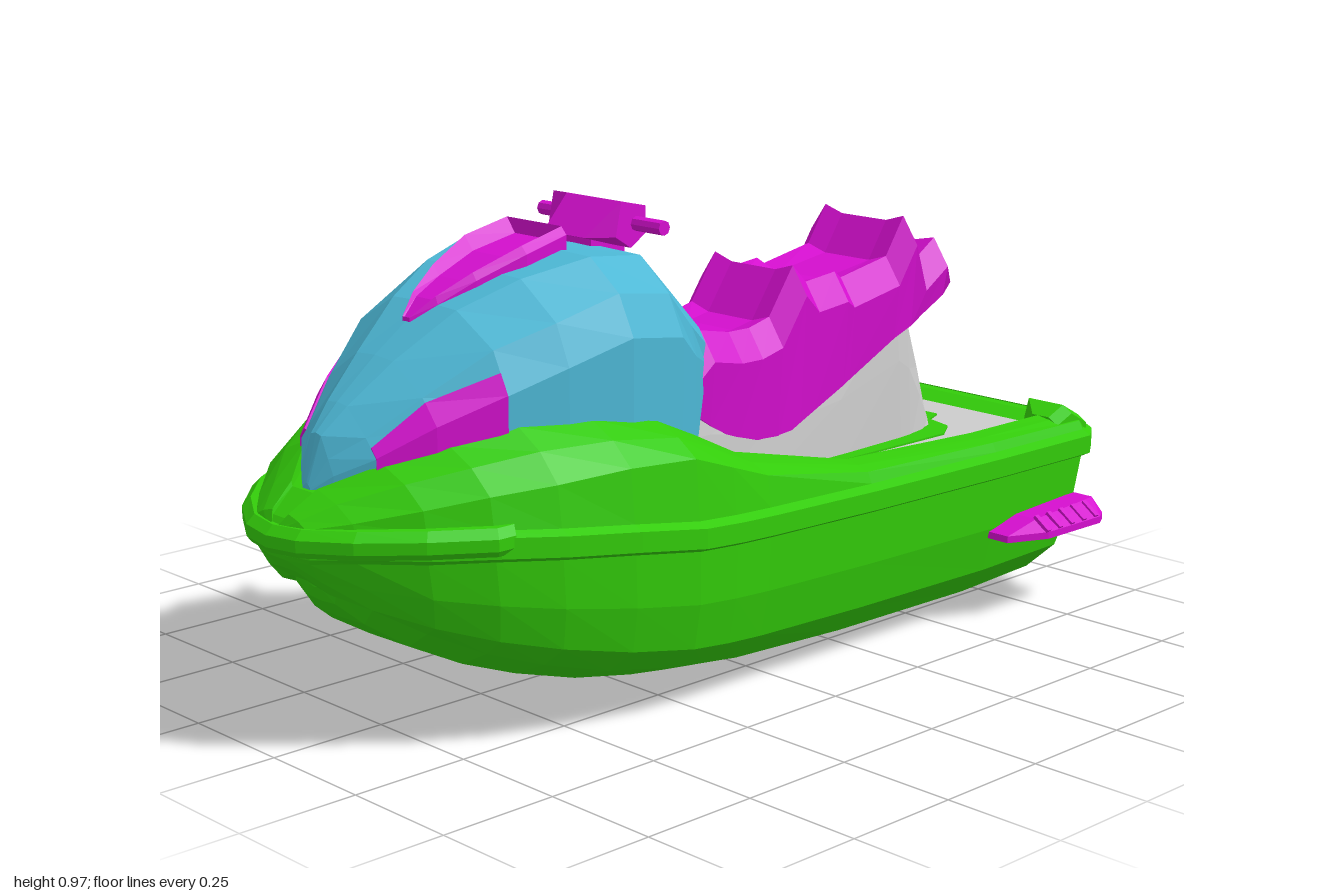
import * as THREE from 'three';

const material = color => new THREE.MeshStandardMaterial({ color, flatShading: true });
const green = material(0x33cc0a);
const blue = material(0x4db8d6);
const magenta = material(0xd60fd0);
const grey = material(0xcccccc);

const lerp = THREE.MathUtils.lerp;

// Closed ring from a half outline that starts and ends on the centre plane
const mirrorRing = half => [
  ...half,
  ...half.slice(1, -1).reverse().map(([x, y, z]) => [-x, y, z]),
];

// Solid skinned over rings of equal length, capped, and always turned outward
function loft(rings) {
  const tris = [];
  const n = rings[0].length;
  for (let i = 0; i < rings.length - 1; i++) {
    for (let j = 0; j < n; j++) {
      const k = (j + 1) % n;
      const [a, b, c, d] = [rings[i][j], rings[i][k], rings[i + 1][k], rings[i + 1][j]];
      tris.push([a, b, c], [a, c, d]);
    }
  }
  // Caps run in strips between opposite points, so they lie level across a mirrored ring
  const cap = (ring, flip) => {
    const push = (a, b, c) => tris.push(flip ? [c, b, a] : [a, b, c]);
    for (let j = 0; j < n / 2; j++) {
      const [a, b, c, d] = [ring[j], ring[j + 1], ring[n - j - 1], ring[(n - j) % n]];
      push(a, b, c);
      push(a, c, d);
    }
  };
  cap(rings[0], true);
  cap(rings[rings.length - 1], false);
  const volume = tris.reduce((s, [a, b, c]) => s
    + a[0] * (b[1] * c[2] - b[2] * c[1])
    + a[1] * (b[2] * c[0] - b[0] * c[2])
    + a[2] * (b[0] * c[1] - b[1] * c[0]), 0);
  if (volume < 0) tris.forEach(t => t.reverse());
  const geometry = new THREE.BufferGeometry();
  geometry.setAttribute('position', new THREE.Float32BufferAttribute(tris.flat(2), 3));
  geometry.computeVertexNormals();
  return geometry;
}

export function createModel() {
  const model = new THREE.Group();
  const add = (name, geometry, mat, x = 0, y = 0, z = 0) => {
    const mesh = new THREE.Mesh(geometry, mat);
    mesh.name = name;
    mesh.position.set(x, y, z);
    model.add(mesh);
    return mesh;
  };
  const addPair = (name, rings, mat) => {
    for (const [side, s] of [['left', 1], ['right', -1]]) {
      add(side + name, loft(rings.map(r => r.map(([x, y, z]) => [s * x, y, z]))), mat);
    }
  };

  // Hull and deck: rail z, rail half width, keel z, keel y, chine half width, rail y
  const hullStations = [
    [-1.00, .27, -.87, .015, .24, .31], [-.975, .38, -.86, .012, .30, .31],
    [-.91, .425, -.82, .008, .32, .312], [-.60, .43, -.60, 0, .325, .316],
    [-.20, .43, -.20, .004, .325, .322], [.10, .435, .10, .015, .32, .332],
    [.20, .44, .19, .024, .315, .338], [.30, .44, .28, .035, .31, .345],
    [.45, .42, .42, .06, .295, .365], [.60, .385, .56, .10, .27, .38],
    [.72, .335, .67, .14, .235, .39], [.82, .26, .77, .19, .185, .39],
    [.91, .16, .84, .24, .12, .39], [.965, .085, .88, .28, .065, .385],
    [.98, .03, .895, .31, .025, .385],
  ];
  // Deck: outer edge y, inner edge y, inner half width, floor y
  const deckStations = [
    [.37, .372, .24, .37], [.375, .378, .30, .37], [.39, .405, .335, .35],
    [.395, .405, .335, .35], [.405, .42, .335, .35], [.455, .485, .31, .355],
    [.49, .535, .30, .48], [.525, .58, .30, .55], [.53, .605, .28, .57],
    [.52, .61, .245, .57], [.51, .585, .19, .55], [.49, .555, .12, .52],
    [.465, .51, .04, .50], [.45, .47, .025, .46], [.44, .445, .008, .44],
  ];
  const hullRings = hullStations.map(([z, w, kz, ky, cw, ry], i) => {
    const [gy, iy, ix, fy] = deckStations[i];
    const s = Math.min(1, w / .35);
    const at = (x, y, t) => [x, y, lerp(kz, z, t)];
    return mirrorRing([
      at(0, ky, 0), at(cw * .65, ky + .003, 0), at(cw, ky + .045, .15),
      at(w - .047 * s, lerp(ky, ry, .34), .4), at(w - .025 * s, lerp(ky, ry, .65), .7),
      at(w - .02 * s, ry, .95), at(w, ry + .01, 1), at(w, ry + .05, 1),
      at(w - .022 * s, ry + .06, 1), at(w - .032 * s, gy, 1),
      at(lerp(w - .032 * s, ix, .45), lerp(gy, iy, .6), 1), at(ix, iy, 1),
      at(ix * .93, fy, 1), at(0, fy, 1),
    ]);
  });
  add('hull', loft(hullRings), green);

  // Bow bumper wrapped round the nose
  const bowHalf = [[.338, .69], [.338, .73], [.265, .835], [.17, .925], [.075, .982], [0, .993]];
  const bowPath = [...bowHalf, ...bowHalf.slice(0, -1).reverse().map(([x, z]) => [-x, z])];
  add('bowBumper', loft(bowPath.map(([x, z]) => {
    const l = Math.hypot(x * 1.6, z - .4), nx = x * 1.6 / l, nz = (z - .4) / l;
    const y = .01 * Math.min(1, Math.abs(x) / .25) - .003;
    return [[-.002, .4], [.007, .412], [.007, .435], [-.01, .452], [-.06, .452], [-.06, .4]]
      .map(([o, h]) => [x + nx * o, h + y, z + nz * o]);
  })), green);

  // Raised corner blocks at the stern
  addPair('SternBlock', [[-.97, .37], [-.94, .395], [-.885, .425], [-.835, .405]].map(([z, y], i) => {
    const inner = i === 3 ? .30 : .25, outer = i === 0 ? .36 : .39;
    return [[inner, .34, z], [outer, .34, z], [outer, y - .015, z], [outer - .025, y, z], [inner + .02, y, z]];
  }), green);

  // Grey foot mat and the green plinth under the seat
  const slab = (points, depth) => {
    const shape = new THREE.Shape([...points, ...points.map(([x, z]) => [-x, z]).reverse()]
      .map(([x, z]) => new THREE.Vector2(x, -z)));
    return new THREE.ExtrudeGeometry(shape, { depth, bevelEnabled: false }).rotateX(-Math.PI / 2);
  };
  add('footMat', slab([[.22, .1], [.27, .08], [.295, .03], [.3, -.75], [.28, -.82],
    [.25, -.84], [.25, -.94], [.22, -.965]], .008), grey, 0, .347, 0);
  add('seatPlinth', slab([[.18, .11], [.18, -.7], [.14, -.76], [.07, -.78], [.05, -.83]], .009),
    green, 0, .35, 0);

  // Seat pedestal: z, half width, top y
  add('seatPedestal', loft([
    [.13, .145, .56], [0, .145, .56], [-.15, .145, .52], [-.4, .14, .57],
    [-.6, .13, .66], [-.64, .125, .62], [-.69, .115, .5], [-.735, .1, .4],
  ].map(([z, w, y]) => mirrorRing([
    [0, .34, z], [w + .01, .34, z], [w, lerp(.34, y, .6), z], [w * .9, y, z], [0, y, z],
  ]))), grey);

  // Stepped saddle: z, underside y, top y, depth of the centre dip
  add('seat', loft([
    [.09, .55, .575, 0], [0, .49, .685, .005], [-.08, .445, .67, .01], [-.14, .418, .67, .012],
    [-.2, .42, .685, .015], [-.27, .452, .785, .015], [-.31, .47, .745, .01], [-.4, .51, .755, .02],
    [-.42, .52, .74, .01], [-.565, .59, .768, .015], [-.62, .61, .85, .015], [-.655, .63, .745, .01],
    [-.725, .665, .79, .01], [-.735, .69, .75, 0],
  ].map(([z, b, t, dip]) => {
    const at = y => Math.max(b + .004, y);
    return mirrorRing([[0, b, z], [.145, b, z], [.157, at(t - .06), z],
      [.115, t, z], [.065, at(t - dip), z], [0, at(t - dip), z]]);
  })), magenta);

  // Front cowl: z, half width, bottom y, side y, shoulder x and y, crown x and y
  add('cowl', loft([
    [0, .13, .60, .62, .13, .66, .11, .69], [.1, .205, .46, .66, .19, .72, .13, .78],
    [.22, .29, .48, .73, .25, .81, .17, .875], [.36, .30, .53, .75, .26, .83, .18, .89],
    [.5, .275, .56, .71, .24, .79, .14, .86], [.62, .24, .56, .67, .20, .75, .095, .81],
    [.74, .18, .54, .62, .14, .67, .055, .725], [.83, .115, .50, .565, .085, .60, .03, .65],
    [.88, .05, .48, .53, .035, .56, .015, .60], [.905, .012, .47, .50, .01, .505, .005, .51],
  ].map(([z, w, b, m, sx, sy, tx, ty]) => mirrorRing([
    [0, b, z], [w, b, z], [w, m, z], [sx, sy, z], [tx, ty, z], [0, ty + .004, z],
  ]))), blue);

  // Side windows lying on the cowl
  addPair('Window', [
    [.62, [.24, .60], [.24, .67], [.22, .71]],
    [.74, [.18, .565], [.18, .62], [.147, .661]],
    [.83, [.115, .54], [.115, .565], [.1, .583]],
  ].map(([z, ...points]) => [
    ...points.map(([x, y]) => [x + .003, y + .002, z + .002]),
    ...points.reverse().map(([x, y]) => [x - .02, y - .01, z - .01]),
  ]), magenta);

  // Dished scoop on the cowl: z, half width, rim y, dish y
  add('cowlScoop', loft([
    [.345, .095, .935, .905], [.45, .1, .91, .882], [.55, .07, .868, .848],
    [.62, .04, .828, .82], [.665, .012, .79, .786],
  ].map(([z, w, r, c]) => mirrorRing([
    [0, r - .09, z], [w, r - .07, z], [w, r - .015, z], [w * .85, r, z], [w * .6, c, z], [0, c, z],
  ]))), magenta);

  // Handlebar column, console, grips and gauges
  add('steeringColumn', new THREE.BoxGeometry(.11, .1, .09), magenta, 0, .865, .2);
  add('console', loft([[-.1, .22], [-.06, .268], [.06, .268], [.1, .22]].map(([x, f]) =>
    [[x, .9, f], [x, .97, .205], [x, .955, .14], [x, .9, .14], [x, .875, .18]])), magenta);
  for (const s of [1, -1]) {
    const side = s > 0 ? 'left' : 'right';
    add(side + 'Grip', new THREE.CylinderGeometry(.015, .015, .1, 8).rotateZ(Math.PI / 2),
      magenta, s * .13, .922, .165);
    add(side + 'Gauge', new THREE.CylinderGeometry(.022, .022, .01, 12).rotateX(Math.PI / 2),
      grey, s * .045, .928, .138);
    add(side + 'TowRing', new THREE.TorusGeometry(.02, .005, 6, 12).rotateY(Math.PI / 2),
      grey, s * .2, .28, -.98);
  }

  // Side stabiliser fins: z, outer x, crest x, crest y
  addPair('Fin', [
    [-.59, .455, .44, .20], [-.68, .495, .46, .222], [-.86, .497, .455, .23], [-.89, .48, .45, .23],
  ].map(([z, x, cx, y]) => [[.37, .185, z], [x, .185, z], [x, .2, z], [cx, y, z], [.37, y, z]]), magenta);
  // Ribs on the fins
  for (const s of [1, -1]) {
    for (let i = 0; i < 5; i++) {
      const rib = add('finRib', new THREE.BoxGeometry(.045, .008, .012), magenta,
        s * .477, .215, -.68 - i * .042);
      rib.rotation.z = -s * .62;
    }
  }

  return model;
}
